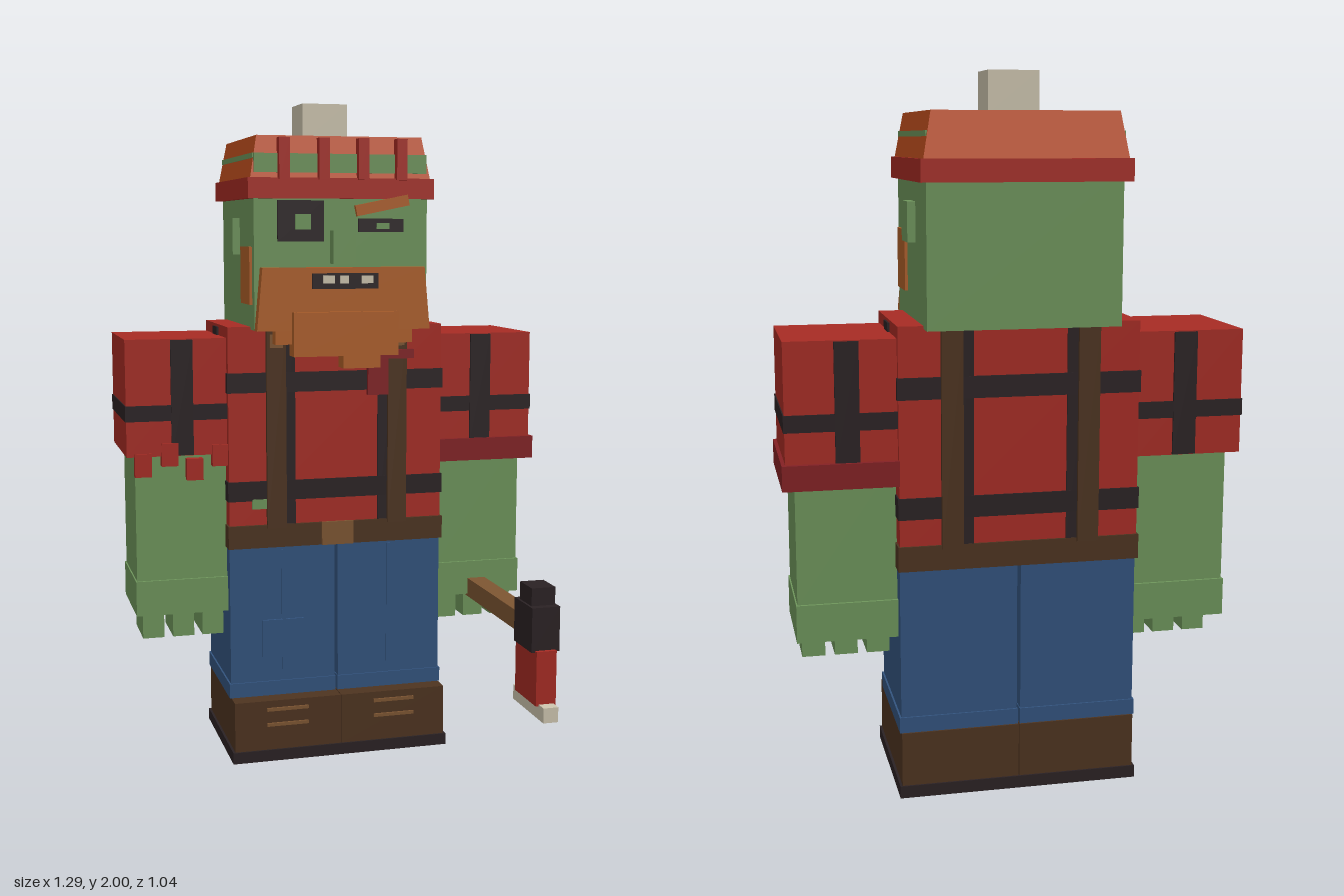
import * as THREE from 'three';

const mat = (name, color) => {
  const m = new THREE.MeshStandardMaterial({ color });
  m.name = name;
  return m;
};

export function createModel() {
  const root = new THREE.Group();
  root.name = 'zombieLumberjack';
  const green = mat('skin green', 0x6f965c), red = mat('shirt red', 0xa82c24);
  const darkRed = mat('cuff dark red', 0x842124), orange = mat('hat orange', 0xc5501f);
  const ginger = mat('beard ginger', 0xb06029), tan = mat('wood tan', 0x7e5632);
  const brown = mat('leather brown', 0x4e3420), blue = mat('denim blue', 0x33547f);
  const black = mat('charcoal', 0x2b2224), cream = mat('cream', 0xcfc6b0);

  const group = (name) => {
    const g = new THREE.Group();
    g.name = name;
    root.add(g);
    return g;
  };
  // Box from its lower and upper limits on each axis
  const box = (parent, name, material, [x0, x1], [y0, y1], [z0, z1]) => {
    const mesh = new THREE.Mesh(new THREE.BoxGeometry(x1 - x0, y1 - y0, z1 - z0), material);
    mesh.position.set((x0 + x1) / 2, (y0 + y1) / 2, (z0 + z1) / 2);
    mesh.name = name;
    parent.add(mesh);
    return mesh;
  };
  const CX = -0.005; // middle line of the body
  const span = (c, w) => [c - w / 2, c + w / 2];
  // Narrow the top or bottom of a box
  const taper = (mesh, sx, sz, top = true) => {
    const p = mesh.geometry.attributes.position;
    for (let i = 0; i < p.count; i++) {
      if ((p.getY(i) > 0) === top) {
        p.setX(i, p.getX(i) * sx);
        p.setZ(i, p.getZ(i) * sz);
      }
    }
    mesh.geometry = mesh.geometry.toNonIndexed();
    mesh.geometry.computeVertexNormals();
  };

  // Boots and trousers, one of each per side
  for (const s of [-1, 1]) {
    const side = s < 0 ? 'right' : 'left';
    const half = (inner, outer) => s < 0 ? [CX - outer, CX - inner] : [CX + inner, CX + outer];
    const boot = group(side + 'Boot');
    box(boot, 'sole', black, half(0, 0.342), [0, 0.035], [-0.435, 0]);
    box(boot, 'bootUpper', brown, half(0.001, 0.335), [0.035, 0.19], [-0.43, -0.006]);
    for (const y of [0.115, 0.163]) box(boot, 'lace', tan, span(CX + s * 0.17, 0.13), span(y, 0.01), [-0.01, 0]);
    const leg = group(side + 'Leg');
    box(leg, 'trouserLeg', blue, half(0.005, 0.335), [0.19, 0.67], [-0.42, -0.065]);
    box(leg, 'trouserCuff', blue, half(0.003, 0.34), [0.19, 0.235], [-0.425, -0.06]);
    box(leg, 'seam', blue, span(CX + s * 0.168, 0.012), [0.27, 0.65], [-0.067, -0.061]);
    if (s < 0) box(leg, 'kneePatch', blue, [-0.24, -0.11], [0.31, 0.43], [-0.067, -0.058]);
  }

  // Torso with plaid bands, belt and braces
  const torso = group('torso');
  box(torso, 'shirt', red, [-0.34, 0.33], [0.7, 1.333], [-0.43, -0.06]);
  for (const y of [0.835, 1.165]) box(torso, 'plaidBand', black, [-0.344, 0.334], span(y, 0.06), [-0.435, -0.055]);
  box(torso, 'sidePlaid', black, [-0.346, 0.336], [0.73, 1.325], [-0.28, -0.21]);
  box(torso, 'belt', brown, [-0.345, 0.335], [0.66, 0.73], [-0.436, -0.05]);
  box(torso, 'buckle', tan, span(CX, 0.1), [0.66, 0.732], [-0.052, -0.043]);
  for (const s of [-1, 1]) {
    box(torso, 'plaidStripe', black, span(CX + s * 0.163, 0.066), [0.73, 1.32], [-0.434, -0.056]);
    box(torso, 'brace', brown, span(CX + s * 0.19, 0.06), [0.72, 1.328], [-0.444, -0.046]);
    box(torso, 'braceClip', tan, span(CX + s * 0.19, 0.04), [1.27, 1.31], [-0.048, -0.041]);
  }
  box(torso, 'tear', green, [-0.27, -0.225], [0.78, 0.81], [-0.062, -0.053]);
  box(torso, 'tornCloth', darkRed, [0.09, 0.155], [1.12, 1.24], [-0.058, -0.04]);
  box(torso, 'tornCloth', darkRed, [0.09, 0.235], [1.23, 1.258], [-0.058, -0.038]);

  // Arms
  for (const s of [-1, 1]) {
    const arm = group(s < 0 ? 'rightArm' : 'leftArm');
    const at = (inner, outer) => s < 0 ? [CX - outer, CX - inner] : [CX + inner, CX + outer];
    box(arm, 'sleeve', red, at(0.336, 0.638), [0.95, 1.3], [-0.42, -0.08]);
    box(arm, 'sleeveBand', black, at(0.334, 0.641), span(1.08, 0.047), [-0.424, -0.076]);
    box(arm, 'sleeveStripe', black, at(0.438, 0.504), [0.952, 1.297], [-0.426, -0.074]);
    box(arm, 'forearm', green, at(0.336, 0.612), [0.56, 0.96], [-0.378, -0.103]);
    box(arm, 'hand', green, at(0.333, 0.616), [0.46, 0.567], [-0.386, -0.095]);
    for (const x of [0.38, 0.471, 0.563]) box(arm, 'finger', green, span(CX + s * x, 0.065), [0.384, 0.465], [-0.287, -0.117]);
    if (s > 0) box(arm, 'rolledCuff', darkRed, [0.328, 0.643], [0.9, 0.97], [-0.435, -0.067]);
    else {
      // Torn end of the short sleeve
      const rags = [[-0.595, 0.89, 0.96], [-0.515, 0.92, 0.99], [-0.44, 0.875, 0.94], [-0.362, 0.915, 0.98]];
      for (const [x, y0, y1] of rags) box(arm, 'sleeveRag', red, span(x, 0.05), [y0, y1], [-0.1, -0.072]);
    }
  }

  // Hammer held in the left hand
  const hammer = group('hammer');
  box(hammer, 'handle', tan, [0.44, 0.497], [0.453, 0.512], [-0.335, 0.345]);
  box(hammer, 'headBlock', black, [0.425, 0.51], [0.43, 0.56], [0.342, 0.475]);
  box(hammer, 'headTop', black, [0.432, 0.504], [0.555, 0.612], [0.365, 0.452]);
  box(hammer, 'headBlade', red, [0.436, 0.497], [0.275, 0.435], [0.33, 0.487]);
  box(hammer, 'cuttingEdge', cream, [0.445, 0.49], [0.236, 0.28], [0.295, 0.522]);

  // Head and face
  const head = group('head');
  box(head, 'skull', green, span(CX, 0.53), [1.325, 1.74], [-0.485, 0]);
  box(head, 'ears', green, span(CX, 0.575), [1.545, 1.655], [-0.31, -0.21]);
  box(head, 'sideburns', ginger, span(CX, 0.546), [1.4, 1.57], [-0.165, -0.03]);
  box(head, 'nose', green, span(CX, 0.07), [1.52, 1.618], [0, 0.038]);
  box(head, 'eyeSocket', black, [-0.2, -0.06], [1.585, 1.705], [-0.002, 0.007]);
  box(head, 'rightPupil', green, [-0.148, -0.102], [1.62, 1.665], [0.005, 0.013]);
  box(head, 'leftEye', black, [0.045, 0.185], [1.613, 1.652], [-0.002, 0.007]);
  box(head, 'leftPupil', green, [0.1, 0.14], [1.622, 1.64], [0.005, 0.012]);
  const brow = box(head, 'eyebrow', ginger, [0.035, 0.2], [1.675, 1.707], [-0.002, 0.015]);
  brow.rotation.z = 0.2;

  // Beard, mouth and teeth
  const beard = group('beard');
  taper(box(beard, 'beardBase', ginger, span(CX, 0.53), [1.325, 1.51], [-0.005, 0.036]), 0.935, 1);
  box(beard, 'beardFringe', ginger, span(CX, 0.42), [1.285, 1.33], [-0.005, 0.034]);
  box(beard, 'beardFront', ginger, [-0.165, 0.155], [1.25, 1.38], [0, 0.06]);
  box(beard, 'beardTip', ginger, [-0.015, 0.1], [1.213, 1.255], [0, 0.058]);
  box(beard, 'mouth', black, [-0.105, 0.097], [1.447, 1.493], [0.03, 0.042]);
  for (const [x, w] of [[-0.055, 0.035], [-0.008, 0.026], [0.062, 0.035]]) box(beard, 'tooth', cream, span(x, w), [1.463, 1.486], [0.038, 0.047]);

  // Knitted hat
  const hat = group('hat');
  box(hat, 'brim', red, span(CX, 0.567), [1.71, 1.77], [-0.515, 0.011]);
  taper(box(hat, 'crown', orange, span(CX, 0.55), [1.765, 1.892], [-0.503, 0]), 0.915, 0.93);
  box(hat, 'frontStripe', green, span(CX, 0.526), [1.785, 1.84], [-0.03, 0.001]);
  box(hat, 'sideStripe', green, span(CX, 0.532), [1.826, 1.841], [-0.488, -0.012]);
  for (const x of [-0.182, -0.062, 0.058, 0.175]) box(hat, 'rib', red, span(x, 0.032), [1.765, 1.885], [-0.008, 0.024]);
  box(hat, 'pompom', cream, span(CX, 0.14), [1.885, 2], [-0.335, -0.197]);

  return root;
}
